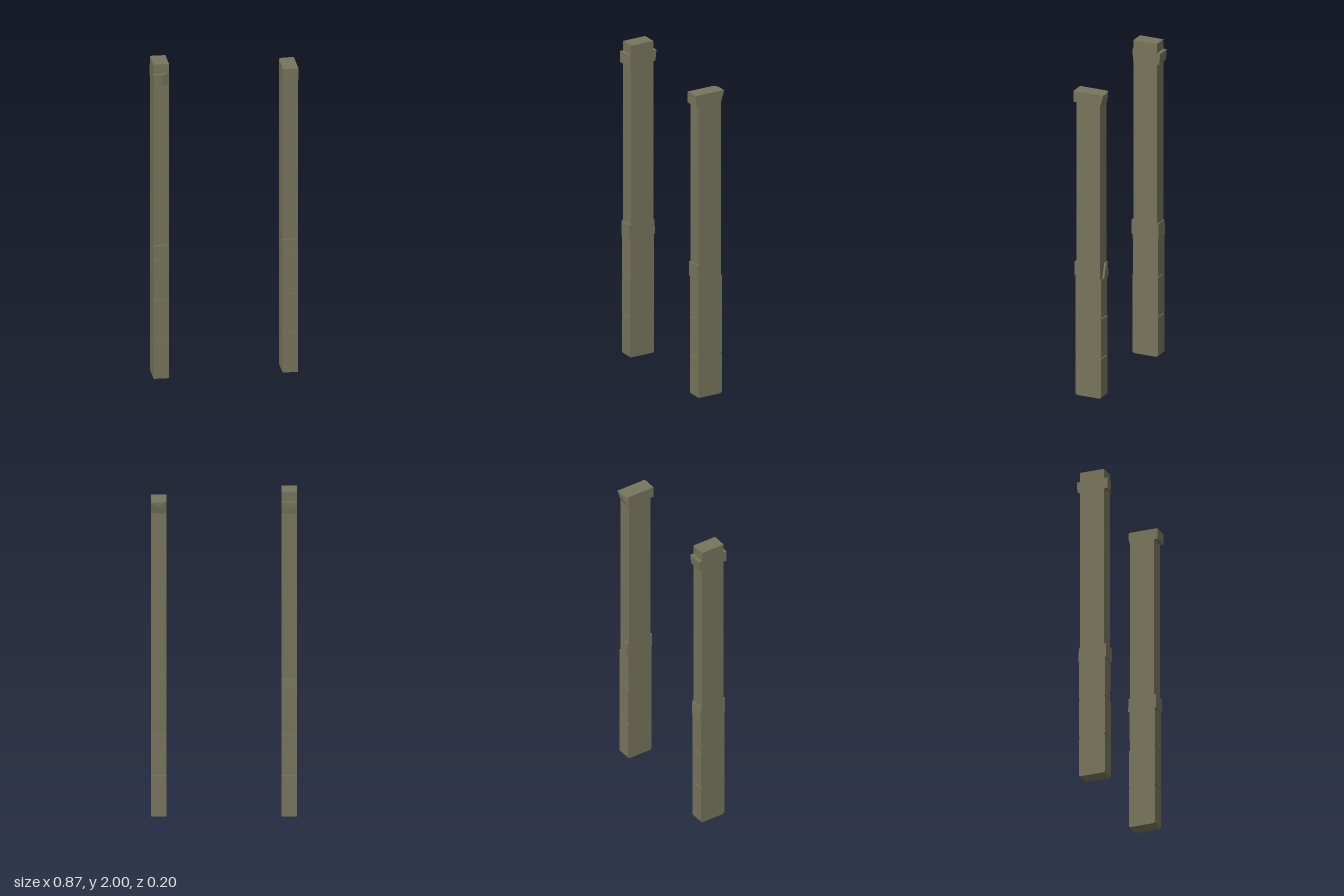
import * as THREE from 'three';
import { toCreasedNormals } from 'three/addons/utils/BufferGeometryUtils.js';

const POST_Z = 0.078;
const POST_W = 0.093;
const smooth = (t) => THREE.MathUtils.smoothstep(t, 0, 1);
const clamp01 = (t) => THREE.MathUtils.clamp(t, 0, 1);

export function createModel() {
  const model = new THREE.Group();
  model.name = 'gatePosts';
  const stone = new THREE.MeshStandardMaterial({ color: 0x77755c });
  stone.name = 'weathered stone';

  // One facing stone. u runs left to right and v bottom to top as seen facing it.
  // wear(u, v) scales its depth; taper(u, v) can reshape its outline.
  function facing(name, y0, y1, depth, { wear, taper, width = POST_W - 0.003 } = {}) {
    const n = wear ? 6 : 1;
    const geo = new THREE.BoxGeometry(1, 1, 1, n, n, 1);
    const p = geo.attributes.position;
    for (let i = 0; i < p.count; i++) {
      const u = p.getX(i) + 0.5;
      const v = p.getY(i) + 0.5;
      const outer = p.getZ(i) > 0;
      const uu = taper ? taper(u, v) : u;
      const d = depth * (wear ? wear(u, v) : 1);
      p.setXYZ(i, (uu - 0.5) * width, y0 + v * (y1 - y0), POST_Z + (outer ? d : -0.01));
    }
    const mesh = new THREE.Mesh(toCreasedNormals(geo, 0.5), stone);
    mesh.name = name;
    return mesh;
  }

  // Three courses, a belt stone and a cap stone on one face of a post
  function face(name, { course = {}, belt = {}, cap = {} }) {
    const g = new THREE.Group();
    g.name = name;
    for (let i = 0; i < 3; i++) {
      const y0 = i * 0.252 + 0.006;
      g.add(facing('courseStone', y0, y0 + 0.246, 0.006, i === 2 ? course : {}));
    }
    g.add(facing('beltStone', 0.76, 0.85, 0.012, belt));
    g.add(facing('capStone', 1.87, 1.94, 0.021, { width: POST_W, ...cap }));
    return g;
  }

  function post(name, x, height, front, back) {
    const g = new THREE.Group();
    g.name = name;
    g.position.x = x;
    const shaft = new THREE.Mesh(new THREE.BoxGeometry(POST_W, height, POST_Z * 2), stone);
    shaft.name = 'shaft';
    shaft.position.y = height / 2;
    const rear = face('backFacing', back);
    rear.rotation.y = Math.PI;
    g.add(shaft, face('frontFacing', front), rear);
    model.add(g);
  }

  // Hollow worn into the lower right of a course
  const wornCourse = { wear: (u, v) => 1 - 0.85 * smooth((u - 0.3) / 0.7) * (1 - 0.7 * v) };

  // Tall post: chipped front cap, bevelled stones behind
  post('tallPost', -0.39, 2,
    {
      course: wornCourse,
      cap: { wear: (u, v) => 1 - (0.9 - 0.15 * v) * smooth((u - 0.45) / 0.55) },
    },
    {
      belt: { wear: (u, v) => 1 - 0.6 * v * v * (0.5 + 0.5 * u) },
      cap: { wear: (u, v) => 1 - 0.35 * (1 - v) * (1 - v) },
    });

  // Short post: broken belt and cap stones behind
  post('shortPost', 0.388, 1.94,
    {},
    {
      course: wornCourse,
      belt: { taper: (u, v) => THREE.MathUtils.lerp(0.35 + 0.65 * u, 0.65 + 0.3 * u, v) },
      cap: {
        wear: (u, v) => clamp01(0.05 + v + 0.6 * u)
          * (1 - 0.75 * smooth((u - 0.7) / 0.3)),
      },
    });

  return model;
}
